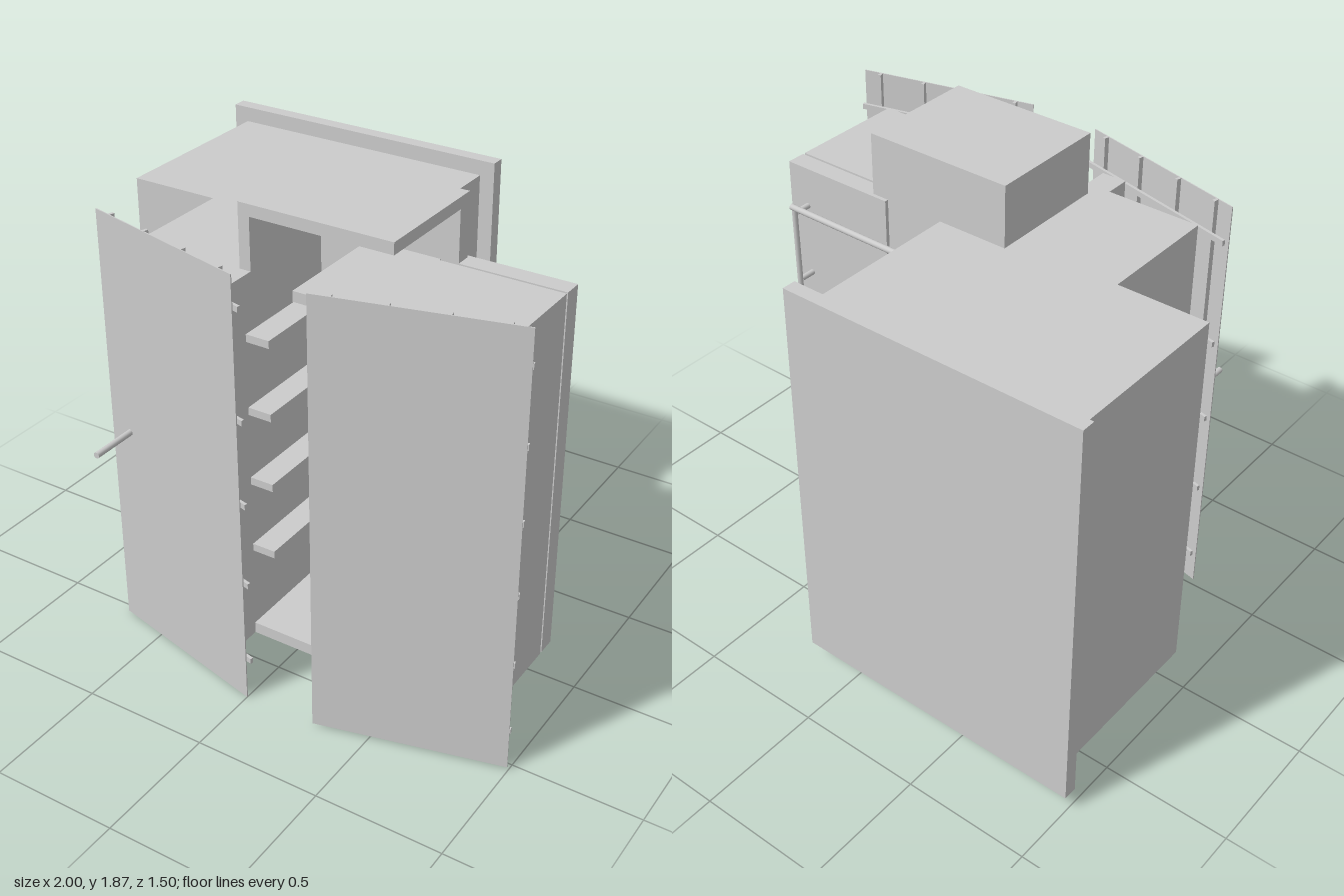
import * as THREE from 'three';

const mat = new THREE.MeshStandardMaterial({ color: 0xcccccc, side: THREE.DoubleSide });

function add(parent, name, geometry) {
  const mesh = new THREE.Mesh(geometry, mat);
  mesh.name = name;
  parent.add(mesh);
  return mesh;
}

// Box given by its lower and upper limits on each axis
function slab(parent, name, x0, x1, y0, y1, z0, z1) {
  const mesh = add(parent, name, new THREE.BoxGeometry(x1 - x0, y1 - y0, z1 - z0));
  mesh.position.set((x0 + x1) / 2, (y0 + y1) / 2, (z0 + z1) / 2);
  return mesh;
}

// Round bar between two points
function rod(parent, name, a, b, r) {
  const from = new THREE.Vector3(...a), to = new THREE.Vector3(...b);
  const mesh = add(parent, name, new THREE.CylinderGeometry(r, r, from.distanceTo(to), 16));
  mesh.position.copy(from).add(to).multiplyScalar(0.5);
  mesh.quaternion.setFromUnitVectors(new THREE.Vector3(0, 1, 0), to.sub(from).normalize());
  return mesh;
}

// Thin skin stiffened by vertical bars and horizontal rails on its inner side
function door(name, x, y, angle, railHeights) {
  const g = new THREE.Group();
  g.name = name;
  const w = 0.726;
  slab(g, 'doorSkin', -w / 2, w / 2, 0, 1.74, -0.004, 0);
  for (const u of [-0.29, -0.1, 0.1, 0.29]) {
    slab(g, 'verticalBar', u - 0.006, u + 0.006, 0, 1.74, -0.023, -0.004);
  }
  for (const h of railHeights) {
    slab(g, 'horizontalRail', -w / 2, w / 2, h - y - 0.011, h - y + 0.011, -0.035, -0.023);
  }
  g.position.set(x, y, 0.618);
  g.rotation.y = angle;
  return g;
}

export function createModel() {
  const model = new THREE.Group();
  model.name = 'cabin';
  const y0 = 0.135, y1 = 1.63, floorTop = 0.18, roofBase = 1.59;

  // Rear block with its oversized back plate
  slab(model, 'backPlate', -1, 0.205, 0.075, 1.69, -0.755, -0.7);
  slab(model, 'rearBlock', -0.94, 0.145, y0, y1, -0.7, 0.025);

  // Hollow front room
  const room = new THREE.Group();
  room.name = 'frontRoom';
  model.add(room);
  slab(room, 'floor', -0.58, 0.87, y0, floorTop, 0.04, 0.505);
  slab(room, 'floorRear', -0.58, 0.39, y0, floorTop, 0.02, 0.04);
  slab(room, 'roofRight', 0.1, 0.87, roofBase, y1, 0.04, 0.505);
  slab(room, 'roofRear', 0.1, 0.39, roofBase, y1, 0.025, 0.04);
  slab(room, 'roofLeft', -0.58, -0.1, roofBase, y1, 0.02, 0.505);
  slab(room, 'sideWallRight', -0.58, -0.535, y0, y1, 0.02, 0.52);
  slab(room, 'sideWallLeft', 0.825, 0.87, y0, y1, 0.04, 0.52);
  slab(room, 'backWall', -0.145, 0.39, y0, y1, -0.03, 0.03);
  slab(room, 'backWallLeft', 0.39, 0.87, y0, y1, 0.04, 0.08);
  slab(room, 'frontWallRight', -0.58, -0.2, y0, y1, 0.475, 0.52);
  slab(room, 'frontWallLeft', 0.48, 0.87, y0, y1, 0.475, 0.52);
  slab(room, 'jambRight', -0.2, -0.1, y0, y1, 0.475, 0.62);
  slab(room, 'jambLeft', 0.39, 0.48, y0, y1, 0.475, 0.62);

  // Partition with ledges leading up to the roof opening
  slab(room, 'partition', -0.145, -0.1, floorTop, y1, 0.03, 0.475);
  for (const top of [0.54, 0.83, 1.12, 1.41]) {
    slab(room, 'ledge', -0.1, -0.005, top - 0.03, top, 0.03, 0.5);
  }

  // Roof hood, open to the front and to one side
  const hood = new THREE.Group();
  hood.name = 'roofHood';
  model.add(hood);
  slab(hood, 'hoodTop', -0.145, 0.46, 1.83, 1.875, -0.03, 0.46);
  slab(hood, 'hoodSide', -0.145, -0.1, y1, 1.83, -0.03, 0.46);
  slab(hood, 'hoodBack', -0.1, 0.46, y1, 1.83, -0.03, 0.03);

  // Sliding rear panel and its rail
  slab(model, 'slidingPanel', 0.39, 0.87, y0, y1, -0.045, 0.03);
  const rail = new THREE.Group();
  rail.name = 'rearRail';
  model.add(rail);
  const path = new THREE.CatmullRomCurve3([
    [0.785, 0.3, -0.042], [0.785, 0.3, -0.085], [0.785, 0.325, -0.097],
    [0.785, 0.9, -0.11], [0.785, 1.5, -0.118],
  ].map(p => new THREE.Vector3(...p)), false, 'centripetal');
  add(rail, 'railPole', new THREE.TubeGeometry(path, 60, 0.011, 12));
  for (const y of [0.595, 0.89, 1.175, 1.47]) {
    rod(rail, 'railBracket', [0.785, y, -0.04], [0.785, y, -0.11], 0.011);
  }
  rod(rail, 'railCrossbar', [0.797, 1.495, -0.12], [0.14, 1.495, -0.127], 0.012);

  // Port ring and long push rod on the rear block's front
  const ring = add(model, 'portRing', new THREE.RingGeometry(0.062, 0.074, 40));
  ring.position.set(-0.76, 0.885, 0.028);
  rod(model, 'pushRod', [-0.602, 0.885, 0.02], [-0.602, 0.885, 0.75], 0.012);

  // Half-open front doors
  const tilt = Math.atan2(0.175, 0.705);
  model.add(door('rightDoor', -0.353, 0.005, -tilt, [0.16, 0.5, 0.84, 1.18, 1.61]));
  model.add(door('leftDoor', 0.643, 0.015, tilt, [0.16, 0.45, 0.74, 1.03, 1.32, 1.61]));
  return model;
}
